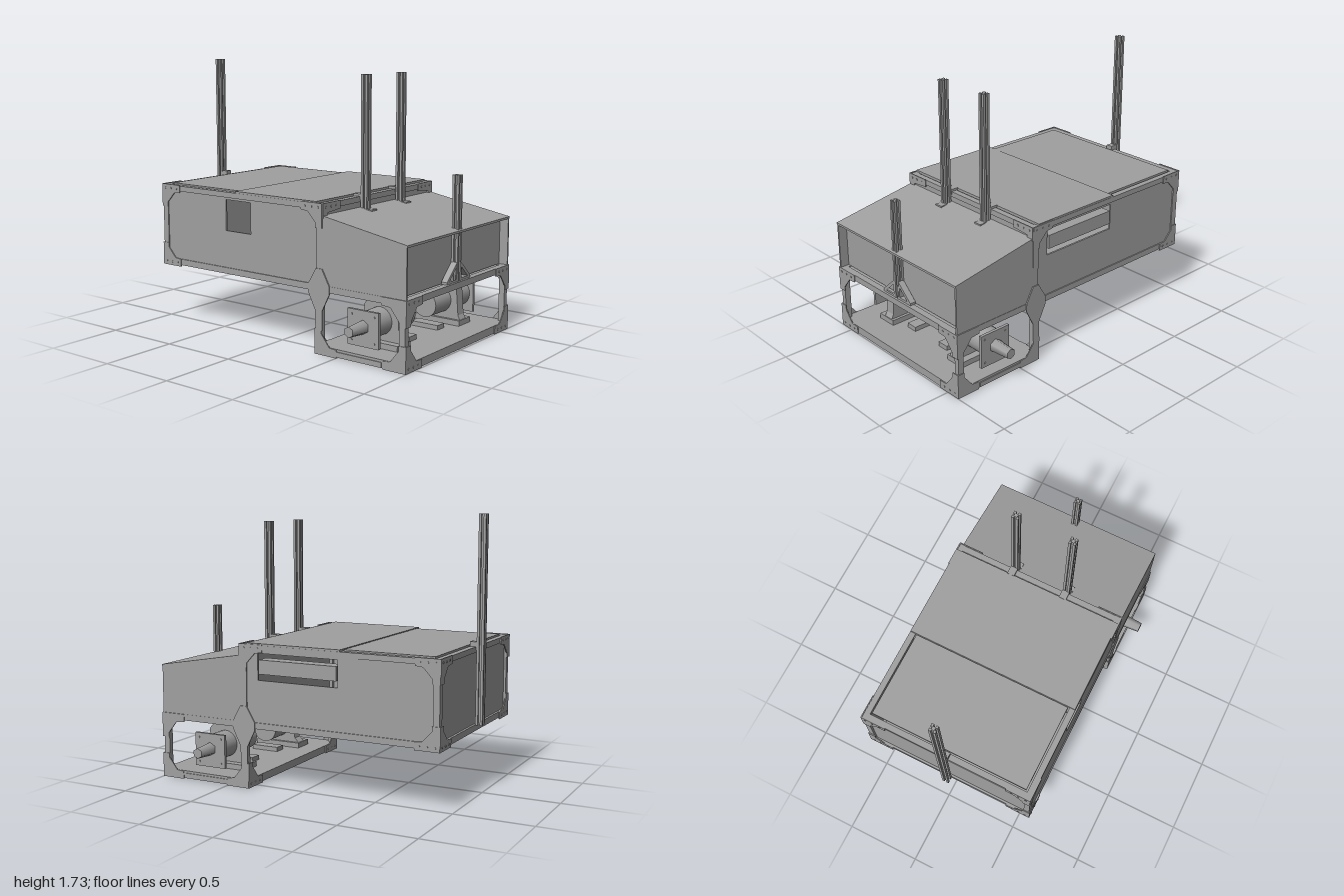
import * as THREE from 'three';

const metal = new THREE.MeshStandardMaterial({ color: 0xa0a0a0 });
metal.name = 'grey metal';

export function createModel() {
  const root = new THREE.Group();
  root.name = 'machineFrame';

  const add = (name, geo) => {
    const m = new THREE.Mesh(geo, metal);
    m.name = name;
    root.add(m);
    return m;
  };
  // Box given by its limits; the order within each pair is free
  const box = (name, x0, x1, y0, y1, z0, z1) => {
    const g = new THREE.BoxGeometry(Math.abs(x1 - x0), Math.abs(y1 - y0), Math.abs(z1 - z0));
    return add(name, g.translate((x0 + x1) / 2, (y0 + y1) / 2, (z0 + z1) / 2));
  };
  const path = (pts, C = THREE.Shape) => new C(pts.map(p => new THREE.Vector2(p[0], p[1])));
  const extrude = (pts, depth, holes = []) => {
    const s = path(pts);
    s.holes = holes.map(h => path(h, THREE.Path));
    return new THREE.ExtrudeGeometry(s, { depth, bevelEnabled: false });
  };
  // Sheet facing z, between z0 and z0 + depth
  const sheetZ = (name, pts, z0, depth, holes) => add(name, extrude(pts, depth, holes).translate(0, 0, z0));
  // Sheet facing x, its points given as (z, y)
  const sheetX = (name, pts, x0, depth, holes) => {
    const flip = a => a.map(([z, y]) => [-z, y]);
    return add(name, extrude(flip(pts), depth, (holes || []).map(flip)).rotateY(Math.PI / 2).translate(x0, 0, 0));
  };
  const rect = (a, b, c, d) => [[a, c], [b, c], [b, d], [a, d]];
  // Corner gusset with arms along both edges, u and v giving the inward directions
  const gusset = (a, y, u, v, w = 0.16, h = 0.15, t = 0.05) => [
    [a, y], [a + u * w, y], [a + u * w, y + v * t], [a + u * (t + 0.06), y + v * (t + 0.005)],
    [a + u * t, y + v * (h - 0.03)], [a + u * t, y + v * h], [a, y + v * h]];
  const screw = (x, y, z, axis) => {
    const g = new THREE.CylinderGeometry(0.007, 0.007, 0.006, 8);
    if (axis === 'x') g.rotateZ(Math.PI / 2); else g.rotateX(Math.PI / 2);
    add('screw', g.translate(x, y, z));
  };

  const opening = rect(-0.39, -0.18, 0.67, 0.87);
  const slot = rect(-0.29, 0.27, 0.7, 0.87);
  for (const s of [-1, 1]) {
    const face = (d, t) => (s > 0 ? d : -d - t);
    // Main cabinet sides
    sheetZ('sidePanel', rect(-0.93, 0.38, 0.4, 0.91), face(0.575, 0.012), 0.012, [s > 0 ? opening : slot]);
    box('topRail', -0.95, 0.4, 0.885, 0.92, s * 0.555, s * 0.594);
    box('bottomRail', -0.95, 0.4, 0.39, 0.43, s * 0.555, s * 0.594);
    for (const x of [-0.95, 0.35]) box('cornerPost', x, x + 0.042, 0.39, 0.92, s * 0.555, s * 0.594);
    for (const [x, u, y, v] of [[-0.955, 1, 0.38, 1], [-0.955, 1, 0.925, -1], [0.395, -1, 0.925, -1]]) {
      sheetZ('cornerGusset', gusset(x, y, u, v), face(0.592, 0.007), 0.007);
      for (const k of [0.03, 0.08, 0.13]) screw(x + u * k, y + v * 0.025, s * 0.599);
    }
    // Joining plate between cabinet and drive module
    sheetZ('joiningPlate', [[0.345, 0.15], [0.395, 0.15], [0.395, 0.27], [0.45, 0.38], [0.45, 0.43],
      [0.395, 0.53], [0.35, 0.53], [0.29, 0.43], [0.29, 0.38], [0.345, 0.27]], face(0.592, 0.008), 0.008);
    // Sloping cover sides
    sheetZ('coverSide', [[0.39, 0.43], [0.995, 0.43], [0.995, 0.745], [0.39, 0.845]], face(0.58, 0.012), 0.012);
    // Drive module side frame
    box('moduleTopRail', 0.35, 1, 0.39, 0.43, s * 0.555, s * 0.594);
    box('moduleBottomRail', 0.35, 1, 0.005, 0.055, s * 0.555, s * 0.594);
    for (const x of [0.35, 0.95]) box('modulePost', x, x + 0.04, 0, 0.43, s * 0.56, s * 0.594);
    sheetZ('moduleGusset', gusset(0.34, 0, 1, 1, 0.16, 0.16), face(0.592, 0.007), 0.007);
    sheetZ('moduleGusset', gusset(1, 0, -1, 1, 0.16, 0.16), face(0.592, 0.007), 0.007);
    sheetZ('moduleGusset', gusset(1, 0.43, -1, -1, 0.17, 0.16), face(0.592, 0.007), 0.007);
    box('sillStrip', 0.5, 0.83, 0.01, 0.04, s * 0.592, s * 0.6);
    // Gussets on the ends, mirrored
    for (const [x, y, v, h] of [[0.993, 0, 1, 0.16], [0.993, 0.43, -1, 0.16], [0.395, 0.925, -1, 0.09],
      [-0.957, 0.38, 1, 0.15], [-0.957, 0.925, -1, 0.15], [0.338, 0, 1, 0.16]]) {
      sheetX('endGusset', gusset(s * 0.597, y, -s, v, 0.17, h), x, 0.007);
      for (const k of [0.03, 0.08, 0.13]) screw(x + (x > 0.35 ? 0.007 : 0), y + v * 0.025, s * (0.597 - k), 'x');
    }

    // Motor: tapered housing, bracket, mounting plate and outer drive
    const barrel = new THREE.CylinderGeometry(0.085, 0.09, 0.42, 20).rotateX(Math.PI / 2);
    add('motorBarrel', barrel.translate(0.66, 0.21, s * 0.33));
    box('terminalBox', 0.61, 0.71, 0.27, 0.325, s * 0.12, s * 0.2);
    sheetZ('motorBracket', [[0.48, 0.08], [0.82, 0.08], [0.8, 0.12], [0.785, 0.3], [0.755, 0.335],
      [0.575, 0.335], [0.545, 0.3], [0.52, 0.12]], face(0.3, 0.07), 0.07);
    box('bracketFoot', 0.48, 0.82, 0.055, 0.09, s * 0.28, s * 0.42);
    box('innerFoot', 0.56, 0.76, 0.055, 0.085, s * 0.12, s * 0.2);
    box('motorPlate', 0.55, 0.775, 0.09, 0.31, s * 0.53, s * 0.55);
    for (const x of [0.58, 0.745]) for (const y of [0.12, 0.28]) screw(x, y, s * 0.552);
    const stub = new THREE.CylinderGeometry(0.034, 0.044, 0.14, 6).rotateX(s * Math.PI / 2);
    add('outerDrive', stub.translate(0.663, 0.21, s * 0.62));
  }

  // Cabinet ends
  sheetX('endPanel', rect(-0.57, 0.57, 0.4, 0.91), -0.935, 0.012);
  box('dividingWall', 0.375, 0.387, 0.4, 0.91, -0.57, 0.57);
  for (const x of [-0.95, 0.353]) {
    box('crossRailTop', x, x + 0.04, 0.885, 0.92, -0.56, 0.56);
    box('crossRailBottom', x, x + 0.04, 0.39, 0.43, -0.56, 0.56);
  }
  // Two lids
  box('leftLid', -0.9, -0.31, 0.908, 0.928, -0.545, 0.545);
  box('rightLid', -0.305, 0.345, 0.915, 0.932, -0.592, 0.592);
  box('lidSupport', -0.335, -0.285, 0.88, 0.91, -0.56, 0.56);
  // Tray in the rear slot
  box('slotTray', -0.28, 0.26, 0.74, 0.83, -0.592, -0.5);

  // Cabinet underside with beams and joining plates
  box('bottomPanel', -0.94, 0.38, 0.418, 0.426, -0.57, 0.57);
  for (const z of [-0.2, 0.2]) box('longBeam', -0.93, 0.36, 0.39, 0.42, z - 0.02, z + 0.02);
  for (const x of [-0.52, -0.09]) {
    box('crossBeam', x - 0.02, x + 0.02, 0.39, 0.42, -0.56, 0.56);
    for (const z of [-0.2, 0.2]) {
      const plate = new THREE.CylinderGeometry(0.11, 0.11, 0.008, 8).rotateY(Math.PI / 8);
      add('beamPlate', plate.translate(x, 0.386, z));
    }
  }
  box('underPad', -0.4, -0.27, 0.376, 0.39, -0.06, 0.06);

  // Sloping cover top and recessed end panel
  sheetZ('coverTop', [[0.39, 0.838], [0.998, 0.733], [0.998, 0.747], [0.39, 0.852]], -0.592, 1.184);
  box('coverEndPanel', 0.925, 0.935, 0.43, 0.745, -0.585, 0.585);
  box('coverDeck', 0.4, 0.95, 0.415, 0.425, -0.56, 0.56);
  // Drive module cross rails and floor
  for (const x of [0.345, 0.953]) {
    box('moduleCrossRailTop', x, x + 0.042, 0.39, 0.43, -0.56, 0.56);
    box('moduleCrossRailBottom', x, x + 0.042, 0.005, 0.055, -0.56, 0.56);
  }
  box('moduleFloor', 0.36, 0.98, 0.04, 0.055, -0.57, 0.57);

  // Slotted uprights
  const upright = (x, z, w, y0, y1) => {
    const h = w / 2, q = 0.007, d = 0.012;
    const quarter = [[h, -q], [h - d, -q], [h - d, q], [h, q], [h, h]];
    const pts = [];
    for (let i = 0; i < 4; i++) for (const [a, b] of quarter) {
      pts.push([[a, b], [-b, a], [-a, -b], [b, -a]][i]);
    }
    add('upright', extrude(pts, y1 - y0).rotateX(-Math.PI / 2).translate(x, y0, z));
  };
  upright(-0.977, 0, 0.046, 0.43, 1.73);
  upright(0.96, 0, 0.044, 0.43, 1.08);
  for (const z of [-0.19, 0.19]) {
    upright(0.42, z, 0.046, 0.43, 1.67);
    box('uprightClamp', 0.34, 0.4, 0.9, 0.935, z - 0.025, z + 0.025);
    box('uprightCollar', 0.44, 0.485, 0.82, 0.845, z - 0.028, z + 0.028);
  }
  box('rearClamp', -0.955, -0.91, 0.9, 0.95, -0.022, 0.022);

  // Triangular braces at the foot of the short upright
  for (const s of [-1, 1]) {
    sheetX('uprightBrace', [[s * 0.02, 0.43], [s * 0.135, 0.43], [s * 0.135, 0.445], [s * 0.02, 0.55]], 0.94, 0.04,
      [[[s * 0.03, 0.445], [s * 0.105, 0.445], [s * 0.03, 0.515]]]);
  }
  return root;
}
